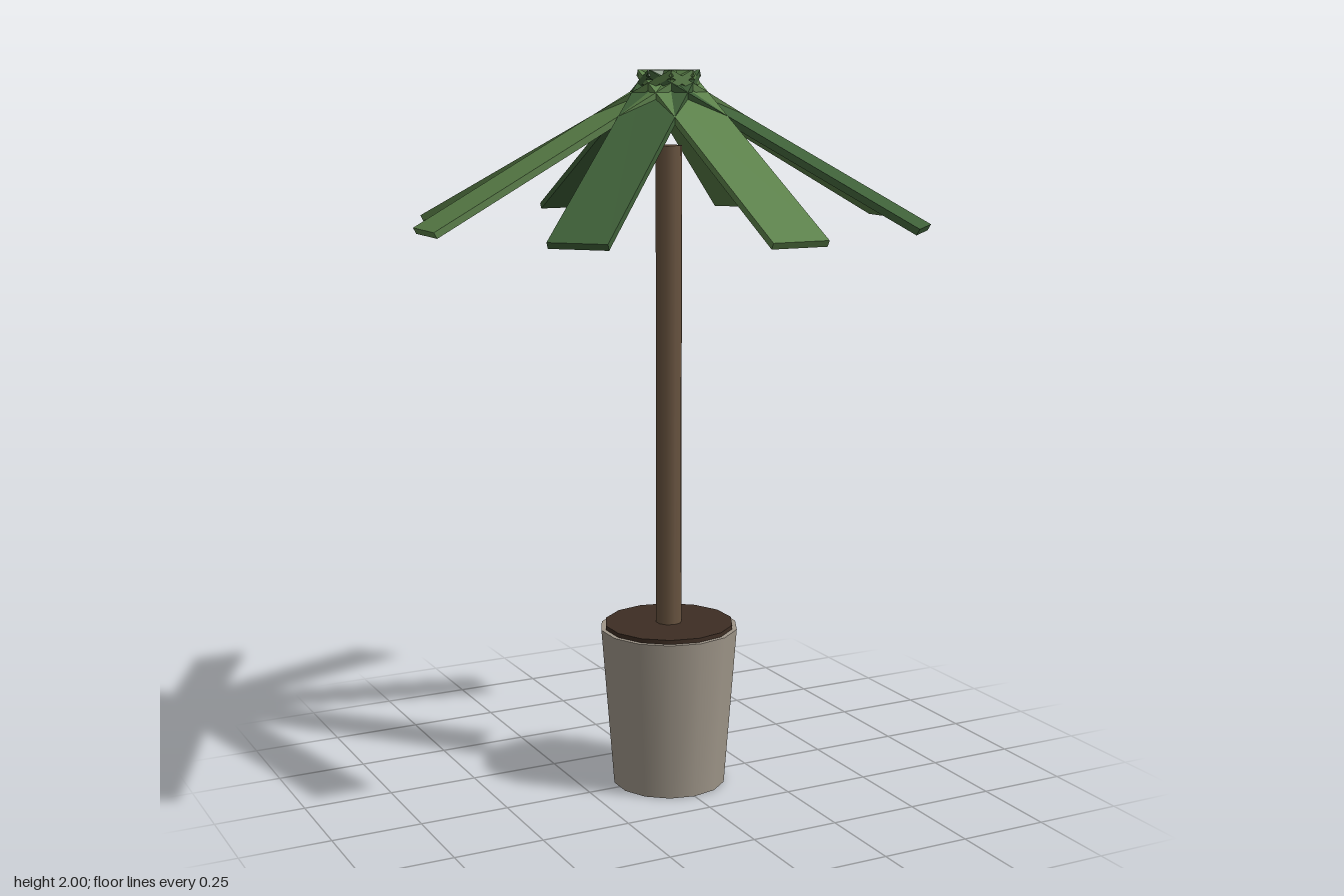
import * as THREE from 'three';

const material = (name, color) => new THREE.MeshStandardMaterial({ name, color });

function part(name, geometry, mat, y = 0) {
  const mesh = new THREE.Mesh(geometry, mat);
  mesh.name = name;
  mesh.position.y = y;
  return mesh;
}

// Closed cylinder standing between two heights
function column(name, topR, bottomR, y0, y1, sides, mat) {
  return part(name, new THREE.CylinderGeometry(topR, bottomR, y1 - y0, sides), mat, (y0 + y1) / 2);
}

export function createModel() {
  const clay = material('clay', 0xa0978a);
  const soil = material('soil', 0x3d2d23);
  const bark = material('bark', 0x68533f);
  const lightGreen = material('lightGreen', 0x5b8149);
  const darkGreen = material('darkGreen', 0x3e5f38);

  const model = new THREE.Group();
  model.name = 'pottedPalm';

  // Tapered pot, soil disc and trunk
  model.add(
    column('pot', 0.195, 0.16, 0, 0.455, 14, clay),
    column('soil', 0.182, 0.182, 0.435, 0.467, 14, soil),
    column('trunk', 0.036, 0.036, 0.45, 1.8, 10, bark)
  );

  // Frond: a flat plank sloping down and out, its inner end just past the centre
  const length = 0.834, thickness = 0.018, slope = 0.5;
  const frondGeometry = new THREE.BoxGeometry(length, thickness, 0.156);
  frondGeometry.translate(-length / 2, -thickness / 2, 0);
  frondGeometry.rotateZ(-slope);
  frondGeometry.translate(0.703, 1.6, 0);

  // Eight fronds around the crown, every third one darker
  const fronds = new THREE.Group();
  fronds.name = 'fronds';
  for (let i = 0; i < 8; i++) {
    const frond = part(`frond${i + 1}`, frondGeometry, i % 3 === 0 ? darkGreen : lightGreen);
    frond.rotation.y = (5 - i) * Math.PI / 4;
    fronds.add(frond);
  }
  model.add(fronds);

  return model;
}
